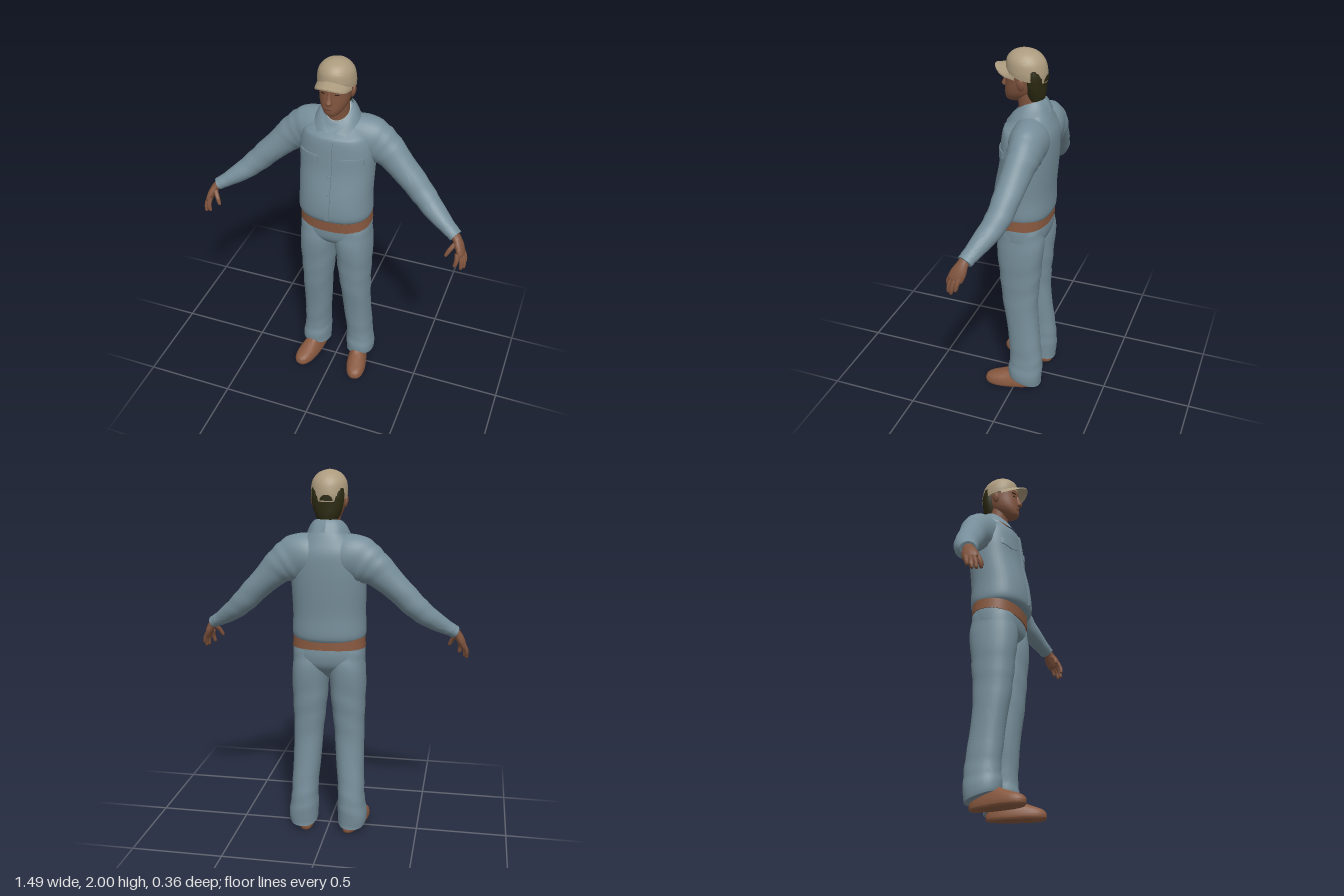
import * as THREE from 'three';
import { toCreasedNormals } from 'three/addons/utils/BufferGeometryUtils.js';

const mat = (name, color, side = THREE.FrontSide) => {
  const m = new THREE.MeshStandardMaterial({ color, side });
  m.name = name;
  return m;
};

// Smoothly resample cross-sections [x, y, z, halfWidth, halfDepth]
function sample(secs, steps) {
  const out = [], at = i => secs[Math.min(Math.max(i, 0), secs.length - 1)];
  for (let i = 0; i < secs.length - 1; i++) {
    for (let k = 0; k < steps; k++) {
      const t = k / steps, p = at(i - 1), q = at(i), r = at(i + 1), s = at(i + 2);
      out.push(q.map((_, c) => q[c] + 0.5 * t * (r[c] - p[c] +
        t * (2 * p[c] - 5 * q[c] + 4 * r[c] - s[c] + t * (3 * (q[c] - r[c]) + s[c] - p[c])))));
    }
  }
  out.push(at(secs.length));
  return out;
}

// Skin a closed tube over the sections; flat keeps the rings horizontal
function loft(secs, { seg = 32, steps = 5, n = 2, flat = false, ripple = 0, rule } = {}) {
  const rings = sample(secs, steps), pos = [], idx = [];
  const centres = rings.map(r => new THREE.Vector3(r[0], r[1], r[2]));
  const sp = v => Math.sign(v) * Math.abs(v) ** (2 / n);
  const last = rings.length - 1, up = rings[last][1] > rings[0][1] ? 1 : -1;
  rings.forEach((r, i) => {
    const t = flat ? new THREE.Vector3(0, up, 0) : centres[Math.min(i + 1, last)].clone()
      .sub(centres[Math.max(i - 1, 0)]).normalize();
    const v = new THREE.Vector3(0, 0, 1).addScaledVector(t, -t.z).normalize();
    const u = t.clone().cross(v);
    for (let j = 0; j < seg; j++) {
      const a = j / seg * Math.PI * 2;
      const w = 1 + ripple * Math.sin(i * 1.3 + 2 * Math.cos(a + 0.4) + Math.sin(i * 0.5) * 2);
      const p = centres[i].clone().addScaledVector(u, r[3] * w * sp(Math.cos(a)))
        .addScaledVector(v, r[4] * w * sp(Math.sin(a)));
      pos.push(p.x, p.y, p.z);
    }
  });
  const c0 = pos.length / 3;
  pos.push(...centres[0].toArray(), ...centres[last].toArray());
  for (let j = 0; j < seg; j++) {
    const k = (j + 1) % seg;
    for (let i = 0; i < last; i++) {
      const a = i * seg + j, b = i * seg + k;
      idx.push(a, a + seg, b, b, a + seg, b + seg);
    }
    idx.push(c0, j, k, c0 + 1, last * seg + k, last * seg + j);
  }
  const g = new THREE.BufferGeometry();
  g.setAttribute('position', new THREE.Float32BufferAttribute(pos, 3));
  g.setIndex(idx);
  return bend(g, rule);
}

// Move vertices by a rule, then smooth all but the sharp edges
function bend(g, rule) {
  const p = g.attributes.position, v = new THREE.Vector3();
  for (let i = 0; rule && i < p.count; i++) {
    rule(v.fromBufferAttribute(p, i));
    p.setXYZ(i, v.x, v.y, v.z);
  }
  return toCreasedNormals(g, 0.95);
}

// Flip a geometry across x = 0 and restore the corner order
function mirror(geo) {
  const g = geo.clone().scale(-1, 1, 1);
  for (const a of [g.attributes.position, g.attributes.normal]) {
    for (let i = 0; i < a.count; i += 3) {
      const b = [a.getX(i + 1), a.getY(i + 1), a.getZ(i + 1)];
      a.setXYZ(i + 1, a.getX(i + 2), a.getY(i + 2), a.getZ(i + 2));
      a.setXYZ(i + 2, ...b);
    }
  }
  return g;
}

export function createModel() {
  const root = new THREE.Group();
  const cloth = mat('blue cloth', 0x768e9a, THREE.DoubleSide), skin = mat('skin', 0x80543e);
  const leather = mat('brown leather', 0x87583f), canvas = mat('tan canvas', 0xac9b7e, THREE.DoubleSide);
  const hair = mat('dark hair', 0x2c2a12), undershirt = mat('pale undershirt', 0x9fb0b8);
  const lip = mat('lip', 0x693d30), dark = mat('dark brown', 0x2e1d15);
  const add = (name, g, m) => {
    const mesh = new THREE.Mesh(g, m);
    mesh.name = name;
    root.add(mesh);
  };
  const pair = (name, g, m) => {
    add(name + 'Left', g, m);
    add(name + 'Right', mirror(g), m);
  };

  // Shirt body, with the neckline dropping toward the front
  const torso = [[0, 1.105, -.016, .18, .135], [0, 1.14, -.008, .199, .158], [0, 1.25, -.01, .196, .156],
    [0, 1.4, -.03, .199, .146], [0, 1.5, -.037, .2, .143], [0, 1.58, -.04, .185, .137],
    [0, 1.64, -.04, .145, .118], [0, 1.69, -.045, .1, .092], [0, 1.735, -.04, .072, .07]];
  const neckline = v => { v.y -= Math.max(0, (v.y - 1.6) / .13) * Math.max(0, v.z + .11) * .5; };
  add('shirtBody', loft(torso, { seg: 48, n: 2.3, flat: true, rule: neckline }), cloth);
  add('undershirtCollar', loft([[0, 1.62, -.04, .07, .068], [0, 1.75, -.038, .064, .064]],
    { flat: true, rule: neckline }), undershirt);

  // Sleeves run from inside the shoulders to the cuffs
  pair('sleeve', loft([[.04, 1.56, -.06, .12, .1], [.12, 1.555, -.07, .125, .1], [.19, 1.535, -.076, .118, .09],
    [.26, 1.495, -.075, .092, .08], [.34, 1.425, -.062, .074, .073], [.46, 1.303, -.04, .064, .065],
    [.555, 1.222, .002, .052, .055], [.63, 1.175, .037, .038, .044], [.672, 1.15, .055, .033, .041]],
    { ripple: .025 }), cloth);

  // Shirt front details follow the chest surface
  const rows = sample(torso, 8);
  const front = (x, y) => {
    const i = Math.max(1, rows.findIndex(r => r[1] >= y)), p = rows[i - 1], q = rows[i];
    const [, , z, a, b] = p.map((c, k) => THREE.MathUtils.lerp(c, q[k], (y - p[1]) / (q[1] - p[1])));
    return z + b * Math.max(0, 1 - Math.abs(x / a) ** 2.3) ** (1 / 2.3);
  };
  const plate = (x, y, w, h, shape = () => {}) => bend(
    new THREE.BoxGeometry(w, h, .009, 10, 16, 1).translate(x, y, 0),
    v => { const z = front(v.x, v.y); shape(v); v.z += z + .002; });
  add('placket', plate(.004, 1.365, .026, .45), cloth);
  pair('pocketFlap', plate(.115, 1.485, .115, .035, v => {
    if (v.y < 1.485) v.y -= .018 * (1 - Math.abs(v.x - .115) / .058);
  }), cloth);
  [1.2, 1.3, 1.4, 1.5].forEach(y => add('shirtButton',
    new THREE.SphereGeometry(.005, 8, 6).translate(.004, y, front(0, y) + .006), cloth));

  // Folded collar: a strip between its neck edge and its outer edge
  const curve = pts => new THREE.CatmullRomCurve3(pts.map(p => new THREE.Vector3(...p)));
  const inner = curve([[0, 1.752, -.112], [.055, 1.75, -.088], [.076, 1.735, -.035], [.052, 1.69, .03], [.01, 1.627, .078]]);
  const outer = curve([[0, 1.69, -.148], [.075, 1.685, -.125], [.115, 1.675, -.04], [.105, 1.65, .025], [.075, 1.618, .072]]);
  pair('collar', bend(new THREE.PlaneGeometry(1, 1, 20, 4), v => {
    const t = v.x + .5, k = v.y + .5;
    v.copy(outer.getPoint(t)).lerp(inner.getPoint(t), k);
    v.y += .01 * Math.sin(k * Math.PI);
  }), cloth);

  // Belt and trousers
  add('belt', loft([[0, 1.068, -.018, .198, .138], [0, 1.13, -.016, .194, .138]],
    { seg: 48, n: 2.4, flat: true, rule: v => { v.y -= .025 * Math.max(0, v.z / .12); } }), leather);
  add('trouserSeat', loft([[0, 1.1, -.018, .19, .128], [0, 1.03, -.02, .196, .132], [0, .97, -.018, .185, .12],
    [0, .92, -.015, .11, .075], [0, .89, -.015, .03, .03]], { seg: 48, n: 2.4, flat: true }), cloth);
  pair('trouserLeg', loft([[.1, 1.06, -.018, .09, .115], [.1, .95, -.017, .1, .128], [.105, .8, -.017, .095, .118],
    [.113, .6, -.02, .082, .1], [.123, .4, -.04, .076, .09], [.132, .22, -.06, .073, .093],
    [.137, .12, -.058, .081, .097], [.139, .06, -.056, .078, .094]],
    { n: 2.3, flat: true, ripple: .018, rule: v => { v.y += Math.max(0, 1 - v.y / .25) * (v.z + .05) * .35; } }), cloth);

  // Shoes: stacked outlines, narrower at the heel and turned outward
  const shoe = loft([[0, 0, 0, .05, .15], [0, .012, 0, .056, .158], [0, .035, 0, .055, .157], [0, .055, -.008, .05, .146],
    [0, .075, -.03, .044, .115], [0, .1, -.055, .038, .08], [0, .13, -.06, .035, .06]],
    { n: 2.3, flat: true, rule: v => { v.x *= 1 + v.z * 1.1; } });
  pair('shoe', shoe.rotateY(.2).translate(.145, 0, .02), leather);

  // Hands: palm, four fingers and a thumb
  pair('palm', loft([[.655, 1.165, .05, .022, .028], [.68, 1.14, .062, .022, .03], [.7, 1.105, .075, .022, .04],
    [.715, 1.07, .09, .017, .04], [.718, 1.06, .093, .008, .03]], { seg: 16 }), skin);
  const digits = [[[.698, 1.085, .115], [.702, 1.05, .13], [.695, 1.018, .136]],
    [[.71, 1.08, .102], [.725, 1.04, .116], [.726, 1.002, .123]],
    [[.715, 1.08, .085], [.734, 1.035, .098], [.737, 1.0, .104]],
    [[.714, 1.085, .066], [.733, 1.05, .074], [.738, 1.02, .08]],
    [[.682, 1.125, .08], [.658, 1.095, .108], [.642, 1.062, .12]]];
  const thickness = [.013, .012, .009, .003];
  digits.forEach((d, i) => {
    const tip = d[2].map((c, k) => c + (c - d[1][k]) * .15);
    const secs = [...d, tip].map((c, k) => [...c, thickness[k], thickness[k]]);
    pair(i < 4 ? 'finger' : 'thumb', loft(secs, { seg: 10, steps: 3 }), skin);
  });

  // Neck and head
  add('neck', loft([[0, 1.62, -.04, .062, .062], [0, 1.7, -.035, .058, .06], [0, 1.8, -.02, .06, .065]], { flat: true }), skin);
  add('head', loft([[0, 1.728, .05, .022, .028], [0, 1.738, .043, .038, .05], [0, 1.765, .022, .06, .076],
    [0, 1.8, .006, .074, .09], [0, 1.85, -.006, .081, .098], [0, 1.9, -.01, .084, .102], [0, 1.95, -.01, .07, .085]],
    { flat: true, n: 2.15 }), skin);
  add('nose', loft([[0, 1.872, .086, .007, .008], [0, 1.835, .094, .01, .014], [0, 1.808, .1, .017, .02],
    [0, 1.797, .096, .012, .014]], { seg: 14, flat: true }), skin);
  const blob = (x, y, z) => new THREE.SphereGeometry(1, 14, 10).toNonIndexed().scale(x, y, z);
  pair('ear', blob(.011, .032, .02).rotateZ(-.2).translate(.087, 1.835, -.012), skin);
  pair('eye', blob(.013, .005, .004).rotateY(.3).translate(.034, 1.852, .082), dark);
  pair('eyebrow', blob(.02, .004, .005).rotateY(.35).translate(.036, 1.872, .082), dark);
  add('mouth', blob(.026, .006, .008).translate(0, 1.772, .092), lip);
  add('hair', loft([[0, 1.745, -.066, .052, .042], [0, 1.775, -.066, .066, .048], [0, 1.82, -.066, .08, .05],
    [0, 1.87, -.063, .086, .055], [0, 1.91, -.05, .085, .06]], { flat: true }), hair);

  // Cap crown with a lower back edge, rear opening and curved brim
  add('capCrown', loft([[0, 1.868, -.016, .095, .106], [0, 1.9, -.016, .096, .107], [0, 1.945, -.014, .088, .098],
    [0, 1.977, -.01, .064, .072], [0, 1.993, -.006, .034, .038], [0, 2, -.004, .004, .004]],
    { flat: true, rule: v => { v.y += .22 * v.z * Math.max(0, (2 - v.y) / .13); } }), canvas);
  add('capOpening', bend(new THREE.CylinderGeometry(1, 1, .008, 24, 1, false, 0, Math.PI).rotateX(-Math.PI / 2).rotateZ(Math.PI / 2),
    v => {
      const x = v.x * .034;
      v.set(x, 1.848 + Math.abs(v.y) * .03, -.121 + x * x * 5 + v.z);
    }), hair);
  add('capBrim', bend(new THREE.BoxGeometry(2, .007, 1, 20, 1, 8), v => {
    const u = v.x, k = v.z + .5, arc = Math.sqrt(Math.max(0, 1 - u * u));
    v.set(u * .09, v.y + 1.918 - .012 * k - .045 * u * u, .02 + arc * THREE.MathUtils.lerp(.062, .13, k));
  }), canvas);
  return root;
}
